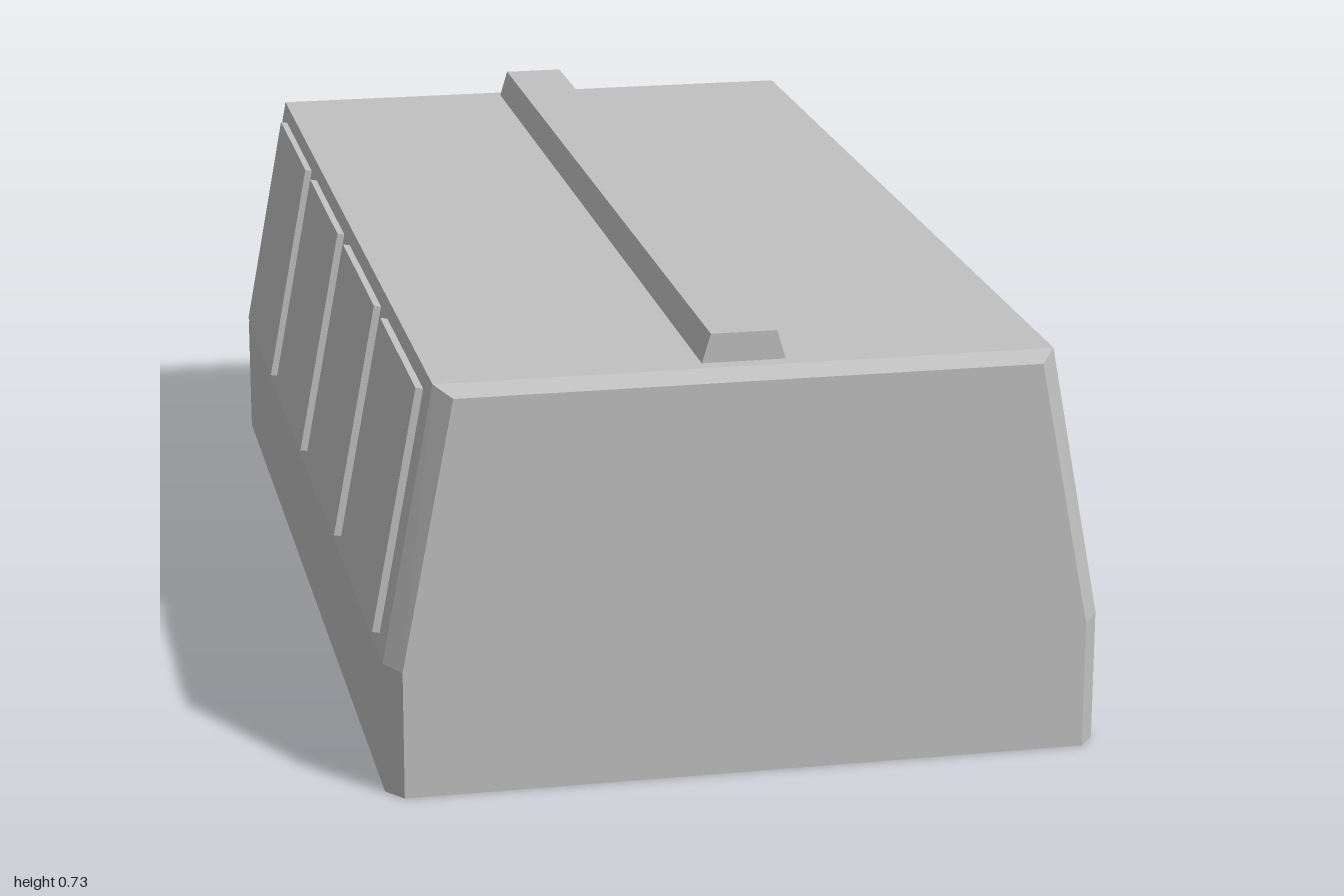
import * as THREE from 'three';

// Lofts matching counter-clockwise outlines (seen from +z), ordered back to front, with capped ends
function loft(sections) {
  const pos = [];
  const tri = (a, b, c) => pos.push(...a, ...b, ...c);
  const rings = sections.map(({ z, outline }) => outline.map(([x, y]) => [x, y, z]));
  const n = rings[0].length;
  for (let s = 0; s < rings.length - 1; s++) {
    const a = rings[s], b = rings[s + 1];
    for (let i = 0; i < n; i++) {
      const j = (i + 1) % n;
      tri(a[i], a[j], b[j]);
      tri(a[i], b[j], b[i]);
    }
  }
  const back = rings[0], front = rings[rings.length - 1];
  for (let i = 1; i < n - 1; i++) {
    tri(back[0], back[i + 1], back[i]);
    tri(front[0], front[i], front[i + 1]);
  }
  const geo = new THREE.BufferGeometry();
  geo.setAttribute('position', new THREE.Float32BufferAttribute(pos, 3));
  geo.computeVertexNormals();
  return geo;
}

// Mirrors the right-hand half of an outline, listed bottom to top
const mirror = (half) => [...half, ...half.map(([x, y]) => [-x, y]).reverse()];

export function createModel() {
  const group = new THREE.Group();
  const grey = new THREE.MeshStandardMaterial({ color: 0xc0c0c0, flatShading: true });
  grey.name = 'plain grey';

  const add = (name, geometry) => {
    const mesh = new THREE.Mesh(geometry, grey);
    mesh.name = name;
    group.add(mesh);
    return mesh;
  };

  // Main body with tapered upper walls and a chamfered front
  const full = mirror([[0.592, 0], [0.592, 0.22], [0.505, 0.68]]);
  const inset = mirror([[0.565, 0], [0.565, 0.215], [0.478, 0.665]]);
  add('body', loft([
    { z: -1, outline: full },
    { z: 0.965, outline: full },
    { z: 1, outline: inset },
  ]));

  // Trapezoid ridge along the roof
  const ridge = mirror([[0.07, 0.675], [0.054, 0.728]]);
  add('roofRidge', loft([{ z: -0.977, outline: ridge }, { z: 0.938, outline: ridge }]));

  // Four raised panels on each sloping wall
  const tilt = Math.atan2(0.087, 0.46);
  const panel = new THREE.BoxGeometry(0.026, 0.413, 0.402);
  for (const side of [1, -1]) {
    for (let i = 0; i < 4; i++) {
      const mesh = add(`${side > 0 ? 'left' : 'right'}Panel${i + 1}`, panel);
      mesh.position.set(side * 0.548, 0.45, 0.698 - i * 0.477);
      mesh.rotation.z = side * tilt;
    }
  }
  return group;
}
